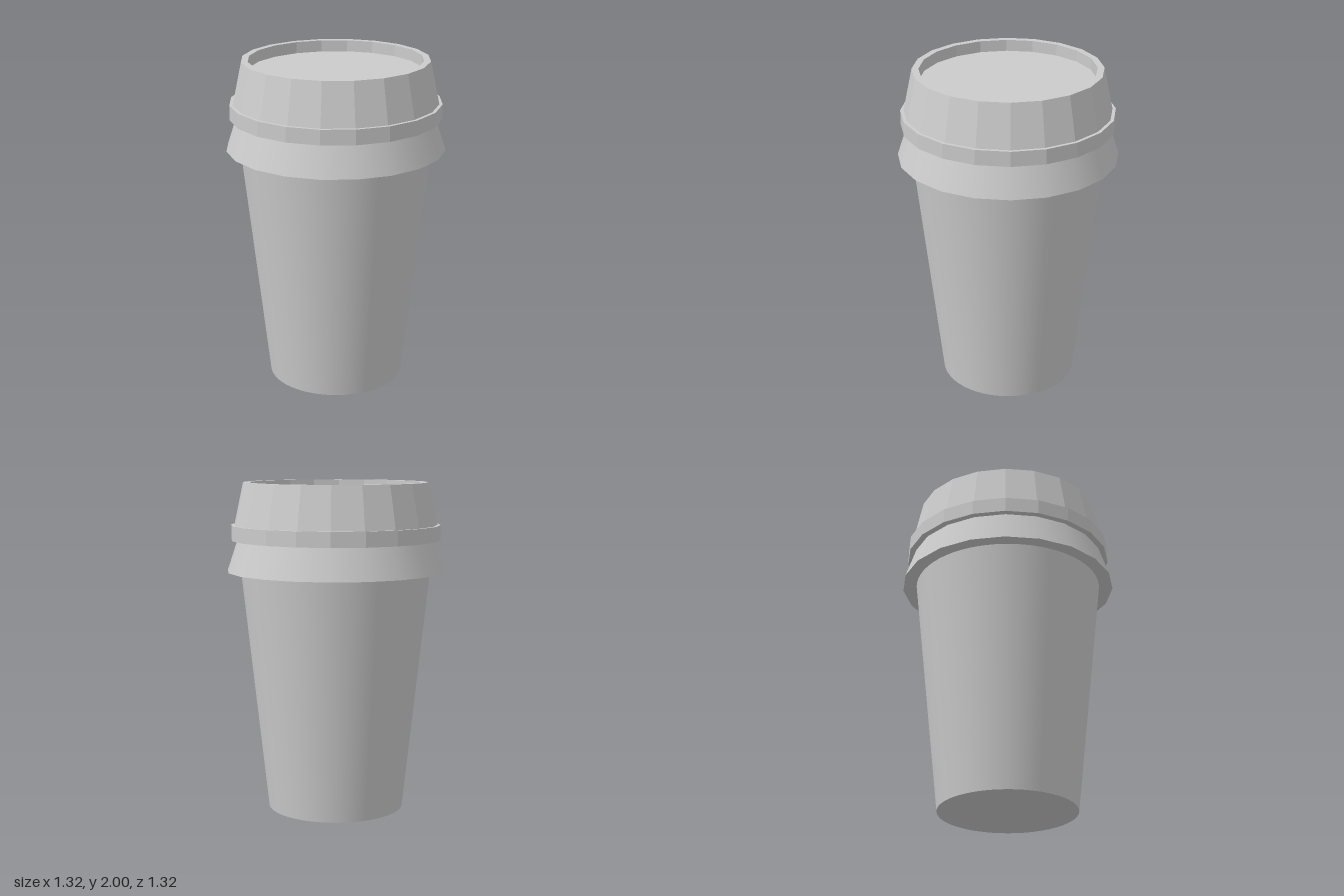
import * as THREE from 'three';

const SIDES = 20; // low-poly lid

export function createModel() {
  const group = new THREE.Group();
  const smooth = new THREE.MeshStandardMaterial({ color: 0xcccccc });
  const faceted = new THREE.MeshStandardMaterial({ color: 0xcccccc, flatShading: true });

  const add = (name, geometry, material) => {
    const mesh = new THREE.Mesh(geometry, material);
    mesh.name = name;
    group.add(mesh);
    return mesh;
  };

  // Tapered, closed solid standing between two heights
  const taper = (rBottom, rTop, y0, y1, sides) =>
    new THREE.CylinderGeometry(rTop, rBottom, y1 - y0, sides).translate(0, (y0 + y1) / 2, 0);

  // Cup body, smooth and tapering towards its base
  add('cup', taper(0.415, 0.575, 0, 1.47, 64), smooth);

  // Flared skirt of the lid, overhanging the cup
  add('lidSkirt', taper(0.66, 0.595, 1.465, 1.66, SIDES), smooth);

  // Lid: band, sloping wall, flat rim and recessed top
  const profile = [
    [0, 1.655], [0.635, 1.655], [0.635, 1.745], [0.615, 1.745],
    [0.56, 2], [0.52, 2], [0.52, 1.93], [0, 1.93],
  ].map(([r, y]) => new THREE.Vector2(r, y));
  add('lid', new THREE.LatheGeometry(profile, SIDES), faceted);

  return group;
}
